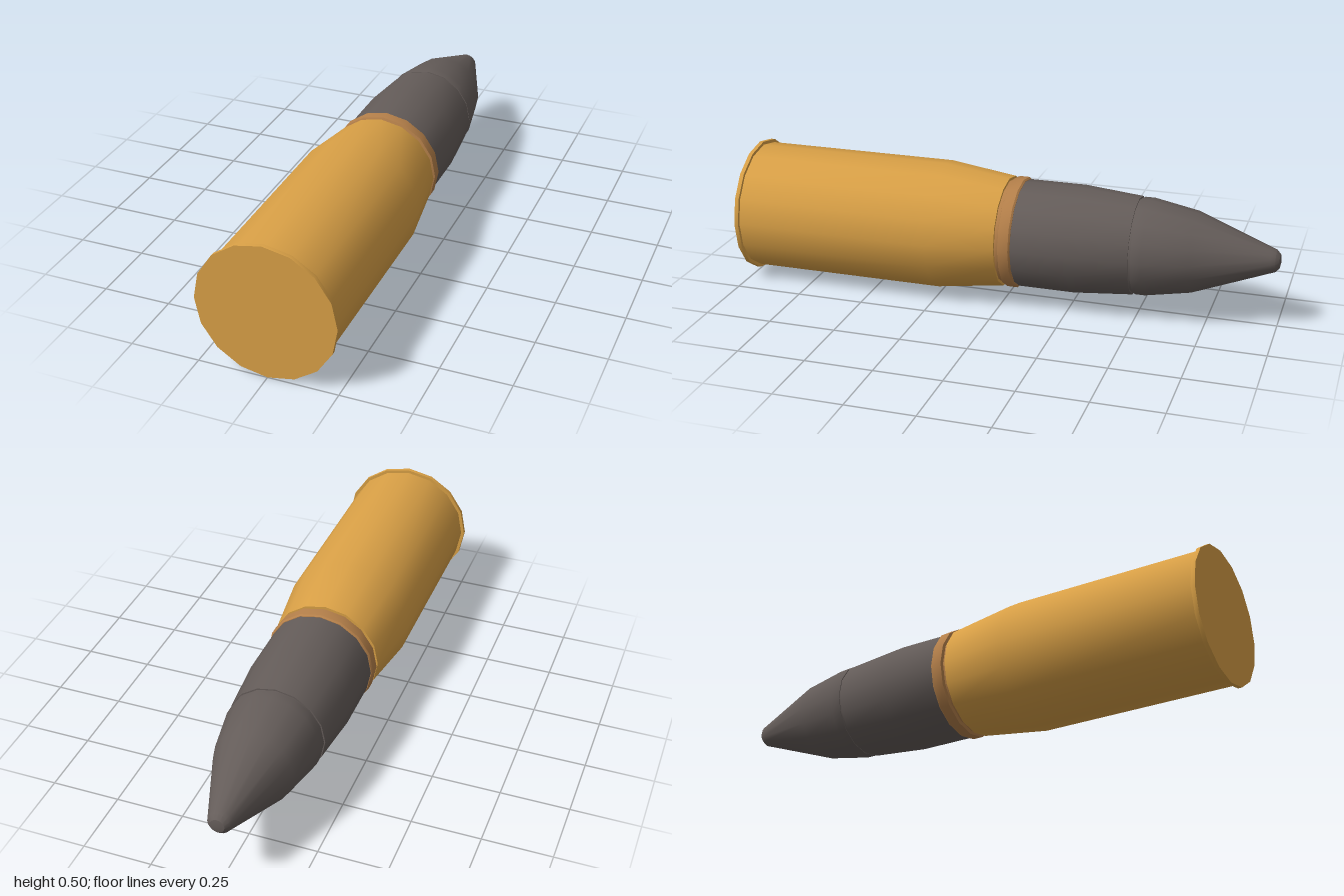
import * as THREE from 'three';
import { toCreasedNormals } from 'three/addons/utils/BufferGeometryUtils.js';

const SIDES = 16;
const AXIS_HEIGHT = 0.25;

// Turns a profile of [radius, z] points, listed from front (+z) to back, around the long axis.
function turned(name, profile, material) {
  const points = profile.map(([r, z]) => new THREE.Vector2(r, -z));
  let geometry = new THREE.LatheGeometry(points, SIDES);
  geometry.rotateX(-Math.PI / 2);
  // crease at a larger scale so that the fine grooves keep sharp edges
  geometry.scale(100, 100, 100);
  geometry = toCreasedNormals(geometry, 0.5);
  geometry.scale(0.01, 0.01, 0.01);
  const mesh = new THREE.Mesh(geometry, material);
  mesh.name = name;
  mesh.position.y = AXIS_HEIGHT;
  return mesh;
}

export function createModel() {
  const brass = new THREE.MeshStandardMaterial({ name: 'brass', color: 0xd9a046 });
  const copper = new THREE.MeshStandardMaterial({ name: 'copper', color: 0xb5804a });
  const steel = new THREE.MeshStandardMaterial({ name: 'darkSteel', color: 0x645c59 });

  const group = new THREE.Group();
  group.name = 'cartridge';

  // casing with flat base, rim and tapered shoulder
  group.add(turned('casing', [
    [0, 1], [0.25, 1], [0.25, 0.985], [0.238, 0.985],
    [0.238, 0.25], [0.204, 0], [0.18, 0],
  ], brass));

  // driving band with a narrow groove against the casing
  group.add(turned('drivingBand', [
    [0.194, 0.002], [0.194, -0.012], [0.205, -0.016],
    [0.205, -0.054], [0.2, -0.06], [0.18, -0.06],
  ], copper));

  // projectile body
  group.add(turned('projectileBody', [
    [0.198, -0.055], [0.198, -0.27], [0.179, -0.485], [0.172, -0.485],
  ], steel));

  // shallow groove below the nose
  group.add(turned('noseGroove', [[0.174, -0.483], [0.174, -0.495]], steel));

  // nose cone with rounded tip
  group.add(turned('noseCone', [
    [0.17, -0.493], [0.177, -0.493], [0.177, -0.53], [0.147, -0.695],
    [0.046, -0.965], [0.04, -0.982], [0.026, -0.995], [0, -1],
  ], steel));

  return group;
}
